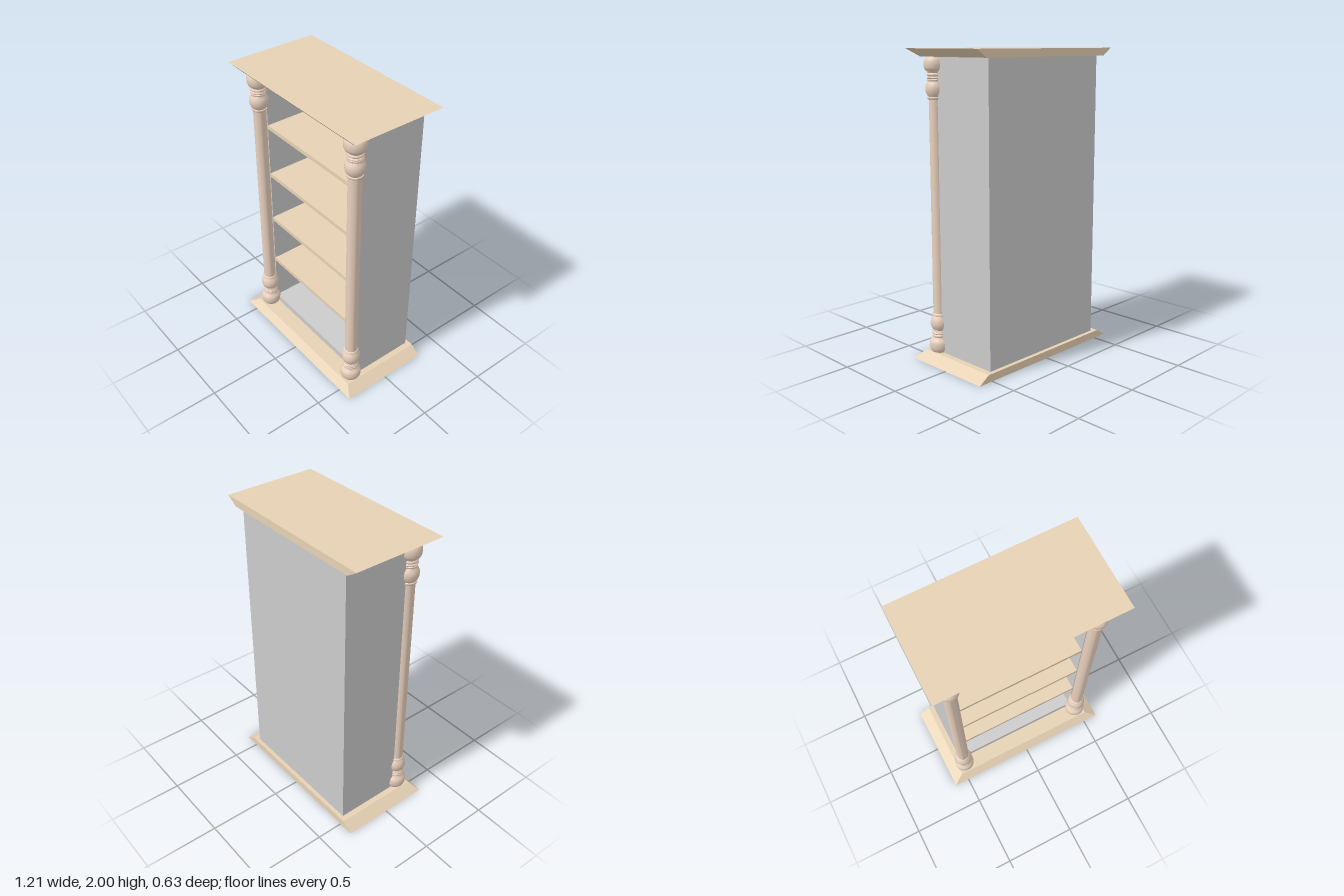
import * as THREE from 'three';
import { toCreasedNormals } from 'three/addons/utils/BufferGeometryUtils.js';

export function createModel() {
  const model = new THREE.Group();
  model.name = 'bookcase';
  const grey = new THREE.MeshStandardMaterial({ color: 0xcccccc });
  const wood = new THREE.MeshStandardMaterial({ color: 0xe6d1b4 });
  const turnedWood = new THREE.MeshStandardMaterial({ color: 0xe8d0bd });

  function add(name, geometry, material, x = 0, y = 0, z = 0) {
    const mesh = new THREE.Mesh(geometry, material);
    mesh.name = name;
    mesh.position.set(x, y, z);
    model.add(mesh);
    return mesh;
  }

  // Board given by its lower and upper limits on each axis
  function board(name, material, x0, x1, y0, y1, z0, z1) {
    add(name, new THREE.BoxGeometry(x1 - x0, y1 - y0, z1 - z0), material,
      (x0 + x1) / 2, (y0 + y1) / 2, (z0 + z1) / 2);
  }

  // Slab whose front and sides slope inwards on one face; the back stays upright
  function bevelledSlab(name, y, narrowSide) {
    const geometry = new THREE.BoxGeometry(1.21, 0.05, 0.634);
    const p = geometry.attributes.position;
    for (let i = 0; i < p.count; i++) {
      if (p.getY(i) * narrowSide < 0) continue;
      p.setX(i, Math.sign(p.getX(i)) * 0.53);
      if (p.getZ(i) > 0) p.setZ(i, 0.27);
    }
    geometry.computeVertexNormals();
    add(name, geometry, wood, 0, y, 0);
  }
  bevelledSlab('plinth', 0.025, 1);
  bevelledSlab('cornice', 1.975, -1);

  // Carcass, open at the front
  const outer = 0.49, inner = 0.447, back = -0.29, front = 0.16;
  for (const side of [-1, 1]) {
    const a = side * inner, b = side * outer;
    board(side > 0 ? 'leftSide' : 'rightSide', grey,
      Math.min(a, b), Math.max(a, b), 0.05, 1.95, back, front);
  }
  board('backPanel', grey, -inner, inner, 0.05, 1.95, back, -0.248);
  board('floorBoard', grey, -inner, inner, 0.05, 0.095, -0.248, front);
  board('topBoard', grey, -inner, inner, 1.91, 1.95, -0.248, front);

  // Shelves
  for (let i = 0; i < 4; i++) {
    const top = 0.46 + i * 0.37;
    board('shelf' + (i + 1), wood, -inner, inner, top - 0.028, top, -0.248, front);
  }

  // Turned columns: lower half profile [radius, height], mirrored for the top
  const half = [
    [0, 0.05], [0.055, 0.05], [0.064, 0.064], [0.069, 0.08], [0.069, 0.112], [0.062, 0.13],
    [0.047, 0.142], [0.045, 0.148],
    [0.05, 0.152], [0.052, 0.158], [0.05, 0.164], [0.045, 0.168],
    [0.05, 0.171], [0.052, 0.176], [0.05, 0.181], [0.045, 0.185],
    [0.049, 0.188], [0.049, 0.194], [0.046, 0.198],
    [0.055, 0.212], [0.061, 0.228], [0.062, 0.244], [0.06, 0.262], [0.053, 0.28], [0.045, 0.292],
    [0.05, 0.295], [0.051, 0.301], [0.049, 0.307], [0.042, 0.311],
  ];
  const profile = [...half, ...half.slice().reverse().map(([r, y]) => [r, 2 - y])]
    .map(([r, y]) => new THREE.Vector2(r, y));
  const columnGeometry = toCreasedNormals(new THREE.LatheGeometry(profile, 28), 0.75);
  for (const side of [-1, 1]) {
    add(side > 0 ? 'leftColumn' : 'rightColumn', columnGeometry, turnedWood, side * 0.472, 0, 0.2);
  }

  return model;
}
